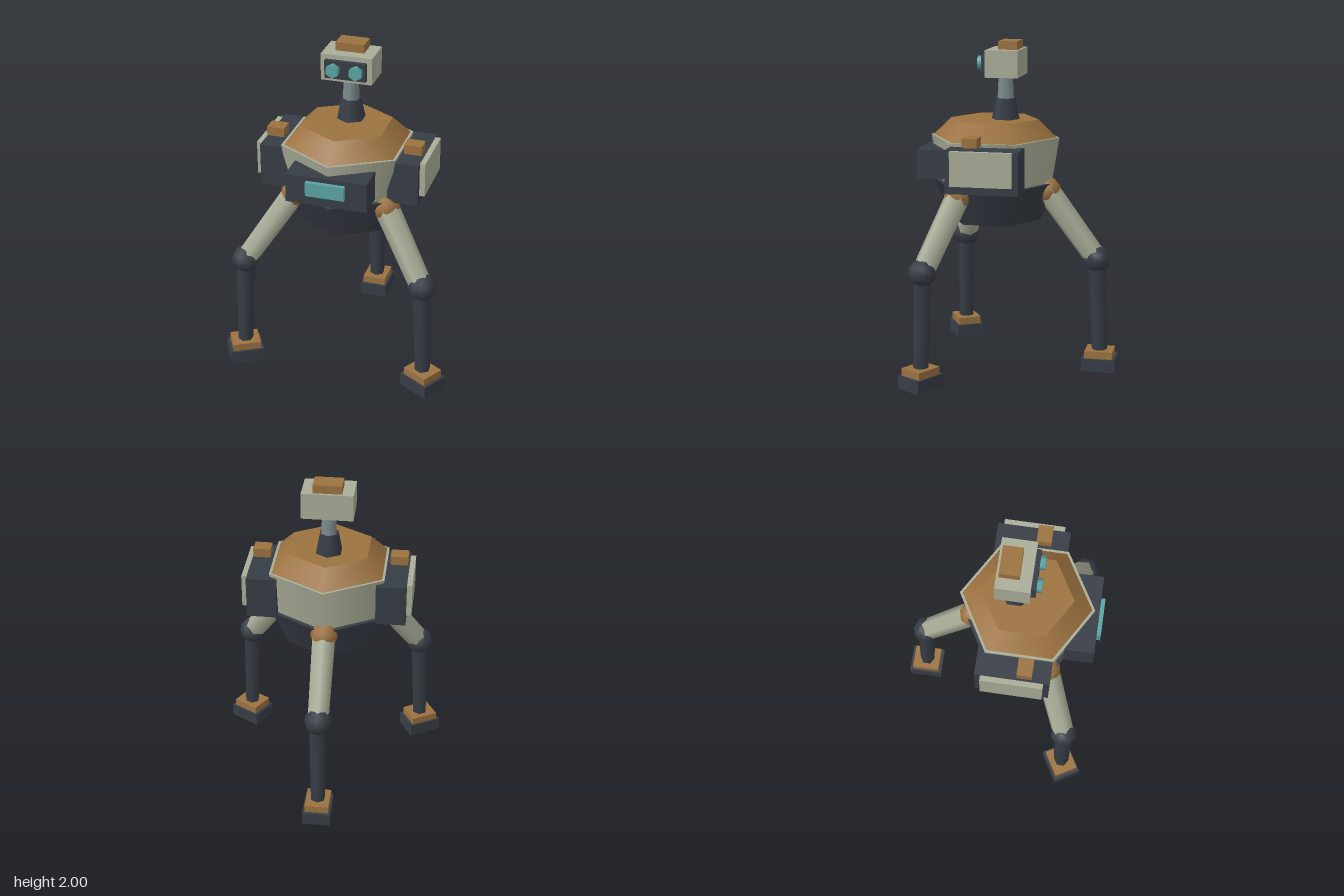
import * as THREE from 'three';

const mat = (name, color) => {
  const m = new THREE.MeshStandardMaterial({ color });
  m.name = name;
  return m;
};

export function createModel() {
  const shell = mat('pale khaki shell', 0xaaad98);
  const dark = mat('dark slate', 0x373d46);
  const brown = mat('ochre brown', 0x9c7240);
  const teal = mat('teal glass', 0x5ca3a5);
  const steel = mat('grey steel', 0x7d8c8e);

  const robot = new THREE.Group();
  robot.name = 'tripodRobot';

  const add = (parent, name, geometry, material) => {
    const mesh = new THREE.Mesh(geometry, material);
    mesh.name = name;
    parent.add(mesh);
    return mesh;
  };
  // Box given by its extents along each axis
  const box = (parent, name, material, [x0, x1], [y0, y1], [z0, z1]) => {
    const mesh = add(parent, name, new THREE.BoxGeometry(x1 - x0, y1 - y0, z1 - z0), material);
    mesh.position.set((x0 + x1) / 2, (y0 + y1) / 2, (z0 + z1) / 2);
    return mesh;
  };
  // Upright six-sided frustum
  const hex = (parent, name, material, rBottom, rTop, y0, y1, z) => {
    const mesh = add(parent, name, new THREE.CylinderGeometry(rTop, rBottom, y1 - y0, 6), material);
    mesh.position.set(0, (y0 + y1) / 2, z);
    return mesh;
  };
  // Six-sided limb between two points
  const limb = (parent, name, material, top, bottom, rTop, rBottom) => {
    const a = new THREE.Vector3(...top), b = new THREE.Vector3(...bottom);
    const mesh = add(parent, name, new THREE.CylinderGeometry(rTop, rBottom, a.distanceTo(b), 6), material);
    mesh.position.copy(a).add(b).multiplyScalar(0.5);
    mesh.quaternion.setFromUnitVectors(new THREE.Vector3(0, 1, 0), a.sub(b).normalize());
  };
  const ball = (parent, name, material, r, y, z) => {
    add(parent, name, new THREE.SphereGeometry(r, 8, 6), material).position.set(0, y, z);
  };

  // Body
  const bodyZ = 0.15;
  hex(robot, 'lowerHull', dark, 0.28, 0.38, 0.92, 1.15, bodyZ);
  hex(robot, 'upperHull', shell, 0.35, 0.395, 1.15, 1.425, bodyZ);
  hex(robot, 'roof', brown, 0.378, 0.27, 1.425, 1.53, bodyZ);

  // Front console
  box(robot, 'frontConsole', dark, [-0.24, 0.24], [1.19, 1.365], [0.4, 0.572]);
  box(robot, 'consoleScreen', teal, [-0.115, 0.115], [1.255, 1.34], [0.572, 0.597]);

  // Neck and head
  hex(robot, 'neckCollar', dark, 0.085, 0.06, 1.53, 1.655, 0.083);
  hex(robot, 'neck', steel, 0.05, 0.043, 1.655, 1.8, 0.083);
  const head = new THREE.Group();
  head.name = 'head';
  robot.add(head);
  box(head, 'headCase', shell, [-0.152, 0.152], [1.79, 1.95], [-0.02, 0.178]);
  box(head, 'facePlate', dark, [-0.122, 0.122], [1.815, 1.922], [0.178, 0.205]);
  box(head, 'headCap', brown, [-0.085, 0.085], [1.95, 2.0], [-0.005, 0.11]);

  for (const side of [-1, 1]) {
    const eye = add(head, 'eye', new THREE.CylinderGeometry(0.041, 0.041, 0.03, 6), teal);
    eye.rotation.x = Math.PI / 2;
    eye.position.set(side * 0.068, 1.87, 0.22);

    // Side pods
    const span = (a, b) => (side > 0 ? [a, b] : [-b, -a]);
    box(robot, 'sidePod', dark, span(0.295, 0.475), [1.15, 1.405], [-0.09, 0.342]);
    box(robot, 'podPlate', shell, span(0.475, 0.507), [1.2, 1.403], [-0.055, 0.307]);
    box(robot, 'podTab', brown, span(0.362, 0.467), [1.42, 1.475], [0.152, 0.24]);
  }

  // Three legs, each built along local +z
  for (const angle of [Math.PI, Math.PI / 3, -Math.PI / 3]) {
    const leg = new THREE.Group();
    leg.name = 'leg';
    leg.position.z = bodyZ;
    leg.rotation.y = angle;
    robot.add(leg);
    ball(leg, 'hipJoint', brown, 0.083, 1.1, 0.325);
    limb(leg, 'upperLeg', shell, [0, 1.1, 0.325], [0, 0.69, 0.628], 0.075, 0.068);
    ball(leg, 'kneeJoint', dark, 0.084, 0.69, 0.628);
    limb(leg, 'lowerLeg', dark, [0, 0.69, 0.628], [0, 0.1, 0.652], 0.056, 0.046);
    box(leg, 'anklePlate', brown, [-0.073, 0.073], [0.08, 0.125], [0.568, 0.738]);
    box(leg, 'foot', dark, [-0.085, 0.085], [0, 0.08], [0.55, 0.757]);
  }

  return robot;
}
